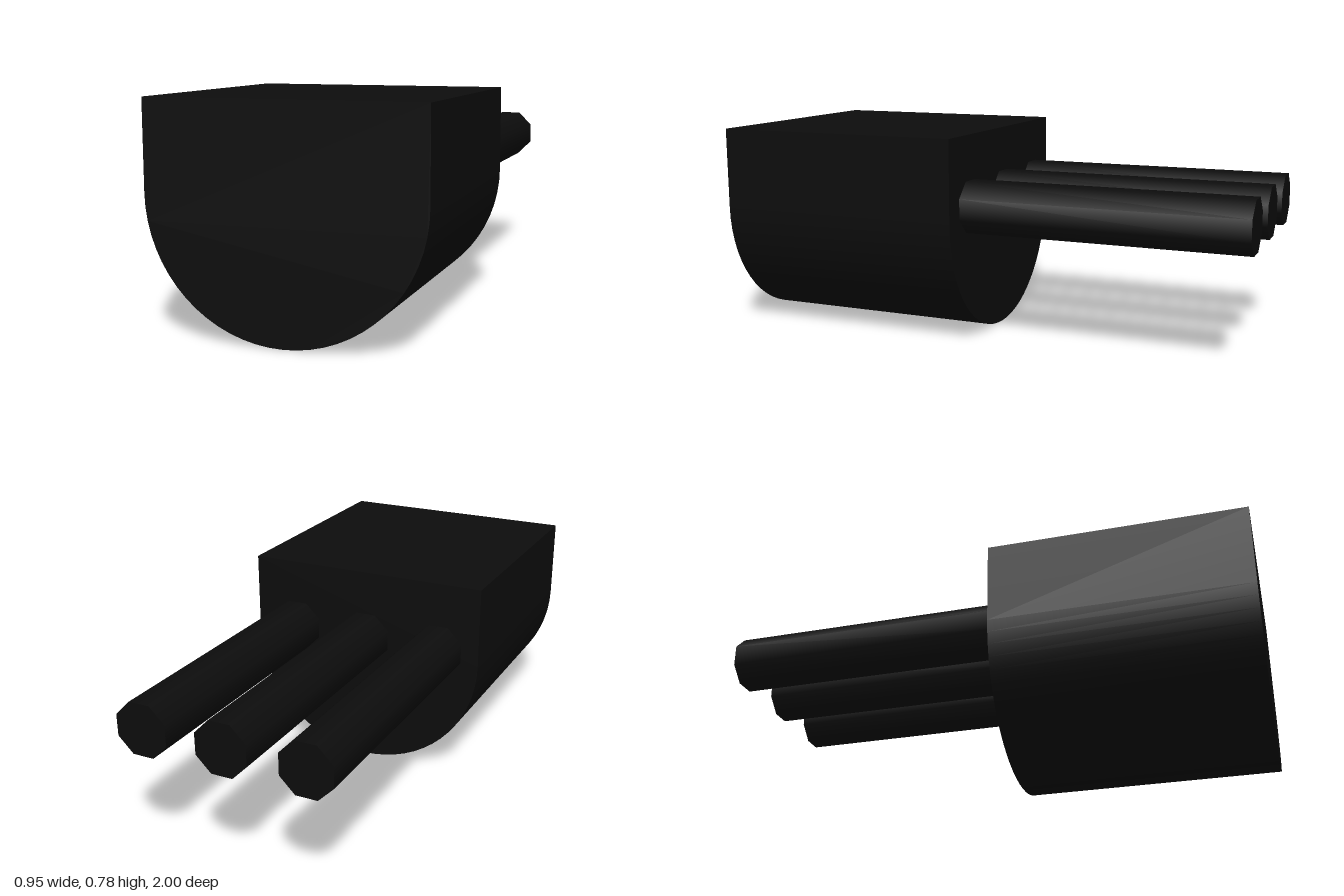
import * as THREE from 'three';
import { toCreasedNormals } from 'three/addons/utils/BufferGeometryUtils.js';

export function createModel() {
  const model = new THREE.Group();
  const black = new THREE.MeshStandardMaterial({ color: 0x0d0d0d });
  black.name = 'black';

  // D-shaped body: flat on top, half-round underneath
  const radius = 0.475, height = 0.78, back = 0.05, depth = 0.95;
  const profile = new THREE.Shape();
  profile.moveTo(radius, height);
  profile.lineTo(-radius, height);
  profile.lineTo(-radius, radius);
  profile.absarc(0, radius, radius, Math.PI, Math.PI * 2, false);
  profile.closePath();
  const bodyGeometry = new THREE.ExtrudeGeometry(profile, { depth, bevelEnabled: false, curveSegments: 16 });
  const body = new THREE.Mesh(toCreasedNormals(bodyGeometry, 0.5), black);
  body.name = 'body';
  body.position.z = back;
  model.add(body);

  // Three eight-sided, smooth-shaded legs with flats facing up and sideways
  const legLength = 1.05, flatRadius = 0.095;
  const legGeometry = new THREE.CylinderGeometry(
    flatRadius / Math.cos(Math.PI / 8), flatRadius / Math.cos(Math.PI / 8), legLength, 8, 1, false, Math.PI / 8);
  legGeometry.rotateX(Math.PI / 2);
  [['rightLeg', -0.31], ['middleLeg', -0.005], ['leftLeg', 0.298]].forEach(([name, x]) => {
    const leg = new THREE.Mesh(legGeometry, black);
    leg.name = name;
    leg.position.set(x, 0.515, back - legLength / 2);
    model.add(leg);
  });

  return model;
}
